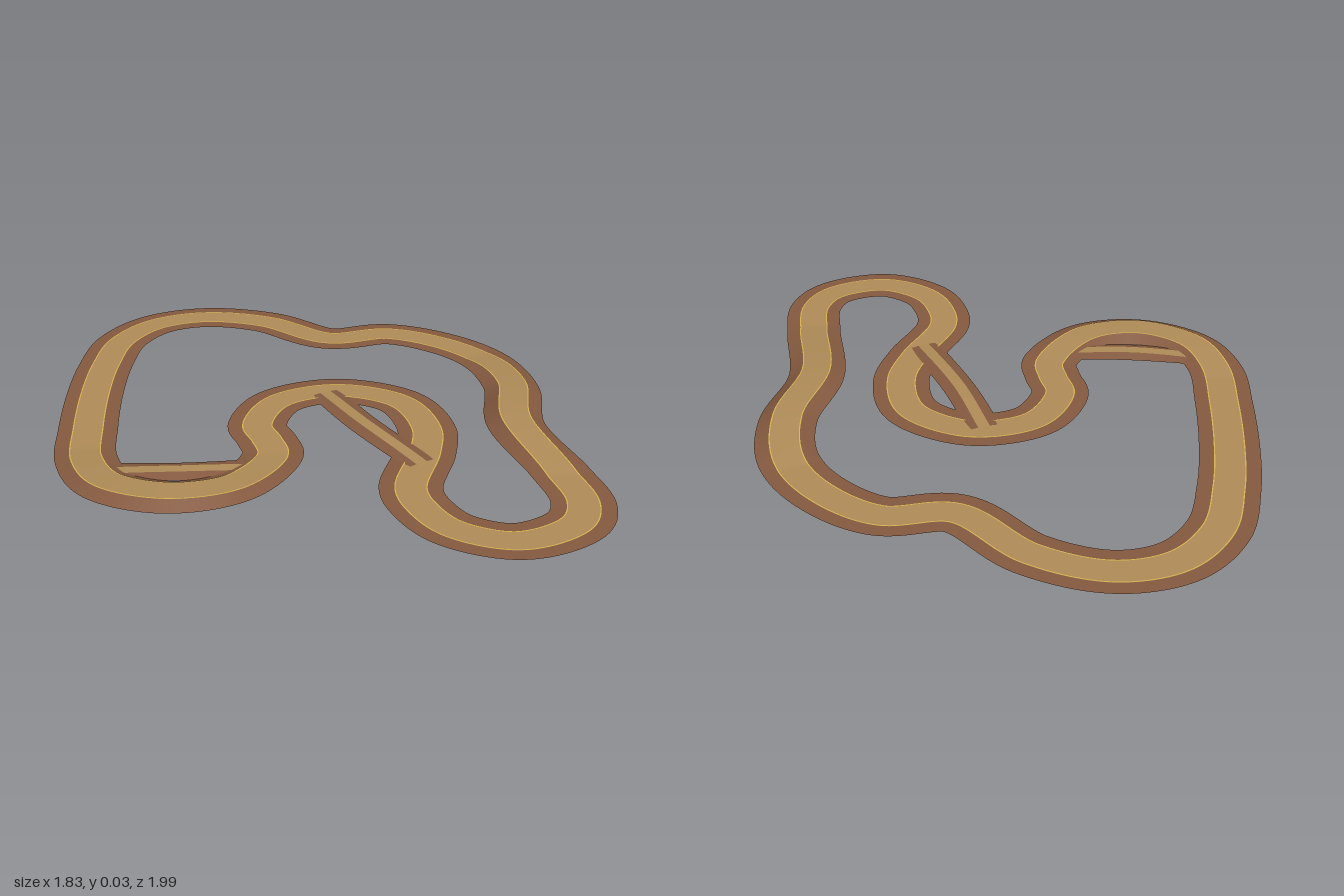
import * as THREE from 'three';

// Centreline of the circuit as [x, z]
const CIRCUIT = [
  [-0.81, -0.18], [-0.8, 0.11], [-0.775, 0.35], [-0.685, 0.52], [-0.485, 0.6], [-0.285, 0.54],
  [-0.16, 0.33], [-0.18, 0.22], [-0.215, 0.11], [-0.155, -0.065], [-0.05, -0.14], [0.1, -0.165],
  [0.295, -0.07], [0.37, 0.135], [0.35, 0.32], [0.28, 0.565], [0.305, 0.69], [0.39, 0.82],
  [0.575, 0.89], [0.76, 0.8], [0.81, 0.67], [0.775, 0.47], [0.685, 0.125], [0.715, -0.18],
  [0.655, -0.42], [0.51, -0.59], [0.295, -0.695], [0.06, -0.655], [-0.195, -0.835],
  [-0.445, -0.89], [-0.64, -0.82], [-0.76, -0.65], [-0.8, -0.42],
];

// Shortcut centrelines
const SHORTCUTS = {
  westShortcut: [[-0.74, 0.43], [-0.46, 0.435], [-0.2, 0.415]],
  middleShortcut: [[0.03, -0.15], [0.15, 0.1], [0.33, 0.4]],
};

// Embankments: top point, half length along the track, height
const HILLS = [
  { x: 0.69, z: 0.02, reach: 0.5, height: 0.029 },
  { x: -0.5, z: 0.6, reach: 0.47, height: 0.022 },
];

const paint = (name, color) =>
  Object.assign(new THREE.MeshStandardMaterial({ color, side: THREE.DoubleSide }), { name });

// Sample a path into frames with position, sideways direction and road height
function sample(points, closed, count, heightAt) {
  const curve = new THREE.CatmullRomCurve3(
    points.map(([x, z]) => new THREE.Vector3(x, 0, z)), closed, 'centripetal');
  curve.arcLengthDivisions = 1000;
  const length = curve.getLength();
  const frames = [];
  for (let i = 0; i <= count; i++) {
    const u = i / count;
    const p = curve.getPointAt(u);
    const t = curve.getTangentAt(u);
    frames.push({ u, x: p.x, z: p.z, sx: -t.z, sz: t.x });
  }
  for (const f of frames) f.h = heightAt(f.u, length, frames);
  return frames;
}

// Strip between two sideways offsets, each edge with its own height rule
function strip(frames, a, b, heightA, heightB) {
  const pos = [];
  const index = [];
  frames.forEach((f, i) => {
    pos.push(f.x + f.sx * a, heightA(f.h), f.z + f.sz * a);
    pos.push(f.x + f.sx * b, heightB(f.h), f.z + f.sz * b);
    if (i < frames.length - 1) {
      const k = i * 2;
      index.push(k, k + 1, k + 2, k + 1, k + 3, k + 2);
    }
  });
  const geo = new THREE.BufferGeometry();
  geo.setAttribute('position', new THREE.Float32BufferAttribute(pos, 3));
  geo.setIndex(index);
  geo.computeVertexNormals();
  return geo;
}

export function createModel() {
  const dirt = paint('packed dirt', 0xb08c58);
  const earth = paint('brown earth', 0x855a40);
  const gold = paint('edge gold', 0xd8b44e);
  const model = new THREE.Group();
  model.name = 'raceTrack';

  const ground = () => 0;
  const level = (h) => h;
  const raised = (h) => h + 0.0008;

  // Road with a sloping shoulder on each side and optional edge lines
  function addRoad(name, frames, roadHalf, fullHalf, lineWidth) {
    const group = new THREE.Group();
    group.name = name;
    const add = (part, geo, material) => {
      const mesh = new THREE.Mesh(geo, material);
      mesh.name = part;
      group.add(mesh);
    };
    add('roadSurface', strip(frames, -roadHalf, roadHalf, level, level), dirt);
    add('shoulderOne', strip(frames, -fullHalf, -roadHalf, ground, level), earth);
    add('shoulderTwo', strip(frames, roadHalf, fullHalf, level, ground), earth);
    if (lineWidth) {
      add('edgeLineOne', strip(frames, -roadHalf, -roadHalf + lineWidth, raised, raised), gold);
      add('edgeLineTwo', strip(frames, roadHalf - lineWidth, roadHalf, raised, raised), gold);
    }
    model.add(group);
  }

  // Main circuit, rising over the embankments
  const circuit = sample(CIRCUIT, true, 400, (u, length, frames) => {
    let h = 0.001;
    for (const hill of HILLS) {
      const away = (f) => Math.hypot(f.x - hill.x, f.z - hill.z);
      hill.u ??= frames.reduce((best, f) => (away(f) < away(best) ? f : best)).u;
      const gap = Math.abs(u - hill.u);
      const d = Math.min(gap, 1 - gap) * length / hill.reach;
      if (d < 1) h += hill.height * Math.cos(d * Math.PI / 2);
    }
    return h;
  });
  addRoad('mainCircuit', circuit, 0.053, 0.103, 0.004);

  // Narrow shortcuts with a slight crown
  for (const [name, points] of Object.entries(SHORTCUTS)) {
    const path = sample(points, false, 40, (u) => 0.003 + 0.009 * Math.sin(u * Math.PI));
    addRoad(name, path, 0.021, 0.06, 0);
  }
  return model;
}
